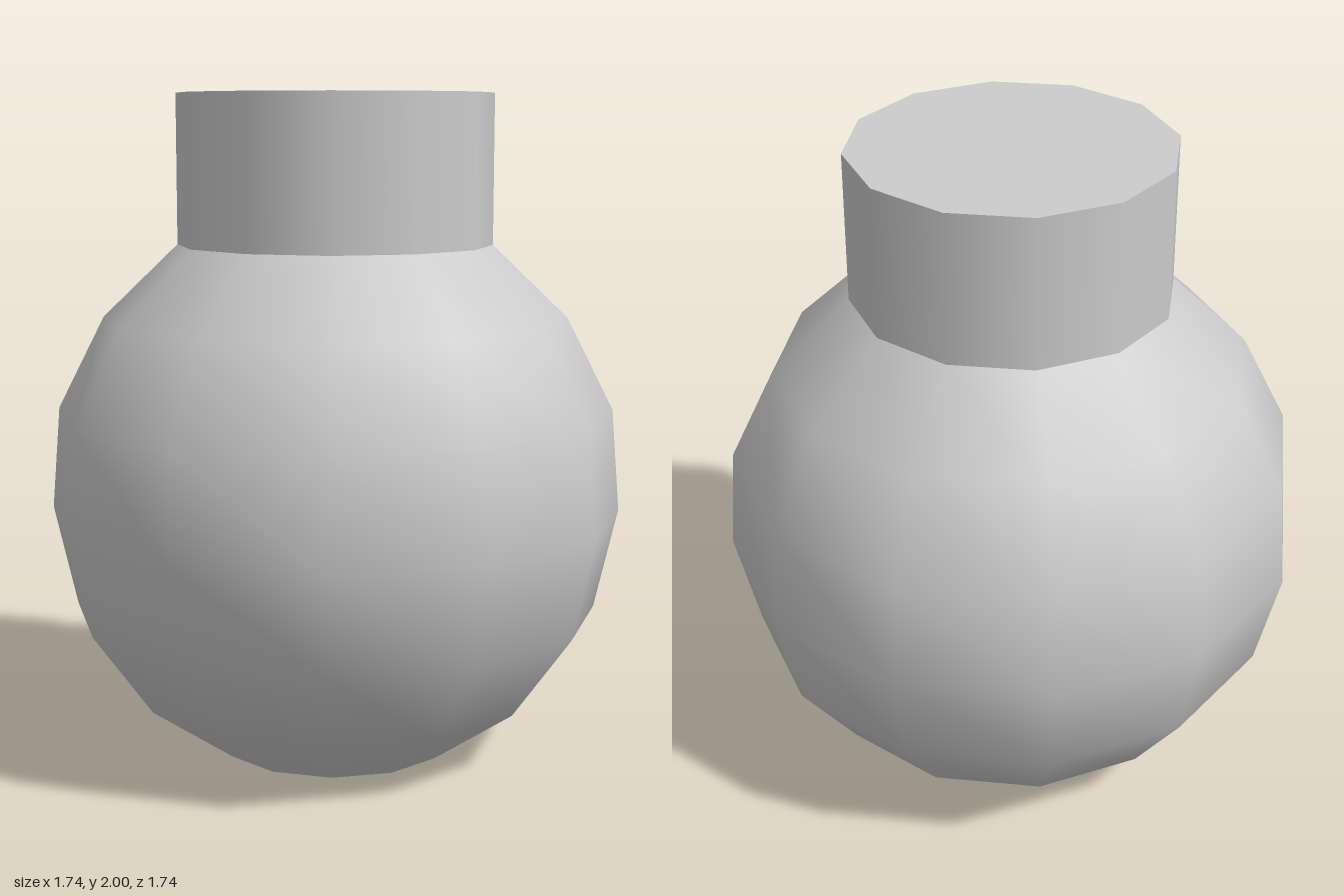
import * as THREE from 'three';

const SIDES = 12;

export function createModel() {
  const group = new THREE.Group();
  const material = new THREE.MeshStandardMaterial({ color: 0xcccccc });

  // Each part is its own lathe, so edges between parts stay sharp
  const addLathe = (name, profile) => {
    const points = profile.map(([r, y]) => new THREE.Vector2(r, y));
    const mesh = new THREE.Mesh(new THREE.LatheGeometry(points, SIDES), material);
    mesh.name = name;
    group.add(mesh);
  };

  // Flat disc closing the bottom
  addLathe('base', [[0, 0], [0.355, 0]]);

  // Round bulb, smooth from base to neck
  addLathe('body', [
    [0.355, 0], [0.615, 0.18], [0.8, 0.435], [0.87, 0.74],
    [0.845, 1.05], [0.703, 1.33], [0.475, 1.55],
  ]);

  // Straight neck and the flat disc closing it
  addLathe('neck', [[0.475, 1.55], [0.475, 2]]);
  addLathe('neckTop', [[0.475, 2], [0, 2]]);

  return group;
}
